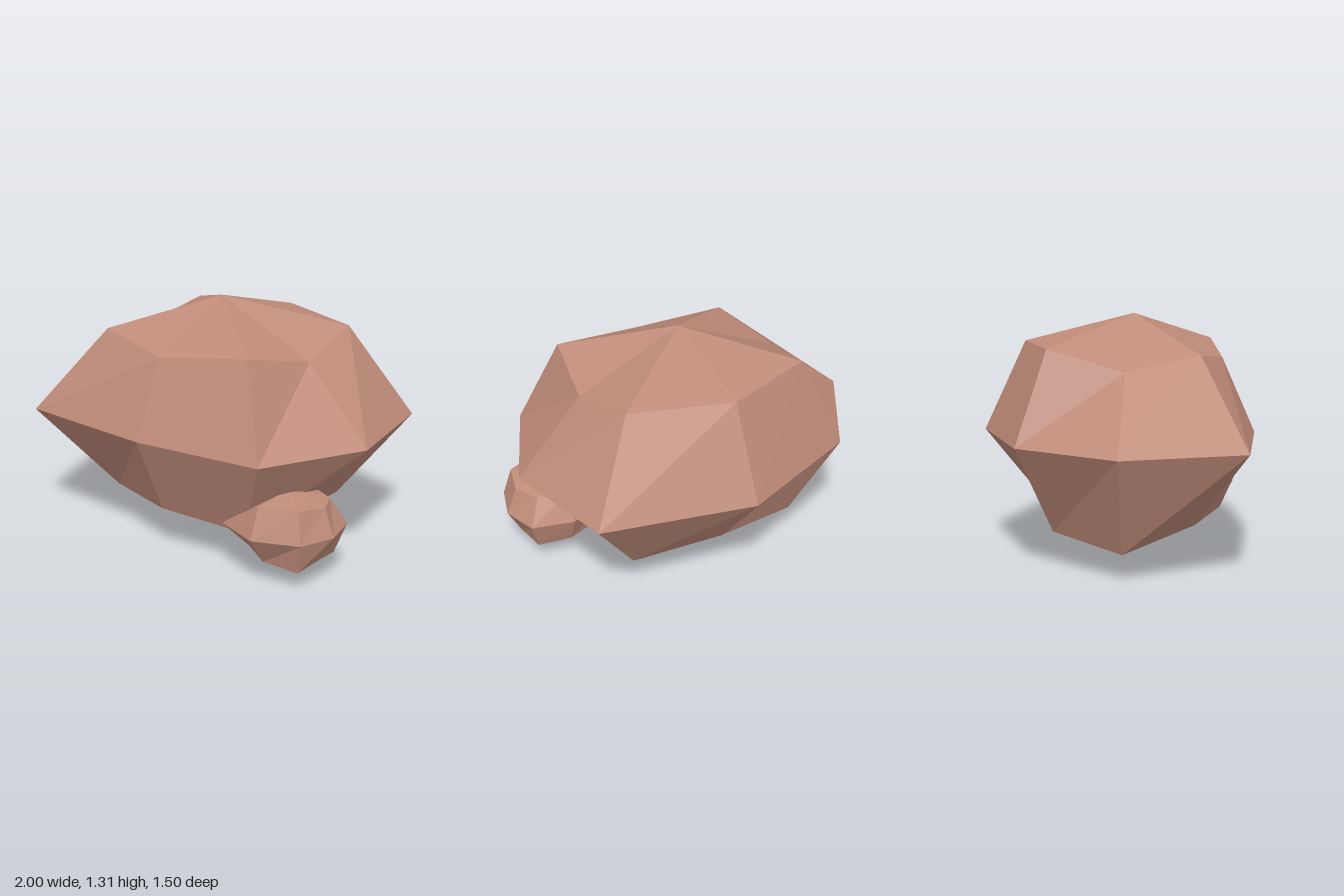
import * as THREE from 'three';

// Eight spokes, running left edge -> front -> right edge -> back
const SPOKES = [[-1, 0], [-1, 1], [0, 1], [1, 1], [1, 0], [1, -1], [0, -1], [-1, -1]];

// Faceted stone: three rings of eight corners closed by a top and a bottom point.
// Each ring gives the reach along every spoke and the height(s) of its corners.
function makeStone({ name, centre, squash, top, bottom, rings }, material) {
  const loops = rings.map(({ reach, y }) => SPOKES.map(([sx, sz], i) => [
    centre[0] + sx * reach[i],
    Array.isArray(y) ? y[i] : y,
    centre[1] + sz * reach[i] * (sx && sz ? squash : 1),
  ]));
  const pos = [];
  const tri = (...corners) => corners.forEach((p) => pos.push(...p));
  const last = loops.length - 1;
  for (let i = 0; i < 8; i++) {
    const n = (i + 1) % 8;
    tri(top, loops[0][i], loops[0][n]);
    for (let r = 0; r < last; r++) {
      const a = loops[r][n], b = loops[r][i], c = loops[r + 1][i], d = loops[r + 1][n];
      tri(a, b, c);
      tri(a, c, d);
    }
    tri(bottom, loops[last][n], loops[last][i]);
  }
  const geometry = new THREE.BufferGeometry();
  geometry.setAttribute('position', new THREE.Float32BufferAttribute(pos, 3));
  geometry.computeVertexNormals(); // unshared corners give flat facets
  const mesh = new THREE.Mesh(geometry, material);
  mesh.name = name;
  return mesh;
}

export function createModel() {
  const group = new THREE.Group();
  group.name = 'rocks';
  const stone = new THREE.MeshStandardMaterial({ color: 0xc08c7a });
  stone.name = 'reddish stone';
  stone.flatShading = true;

  // Large boulder
  group.add(makeStone({
    name: 'boulder',
    centre: [0.04, 0.08],
    squash: 0.79,
    top: [0.04, 1.31, 0.08],
    bottom: [0.04, 0, 0.08],
    rings: [
      { reach: [0.59, 0.48, 0.485, 0.52, 0.59, 0.53, 0.6, 0.52],
        y: [1.04, 1.12, 1.07, 1.14, 1.05, 1.15, 1.155, 1.15] },
      { reach: [1.04, 0.8, 0.665, 0.71, 0.96, 0.81, 0.83, 0.7], y: 0.66 },
      { reach: [0.78, 0.45, 0.48, 0.5, 0.58, 0.5, 0.48, 0.49],
        y: [0.14, 0.23, 0.24, 0.21, 0.24, 0.2, 0.24, 0.19] },
    ],
  }, stone));

  // Small pebble pressed against its side
  group.add(makeStone({
    name: 'pebble',
    centre: [0.7, 0.33],
    squash: 0.85,
    top: [0.72, 0.463, 0.345],
    bottom: [0.7, 0.063, 0.33],
    rings: [
      { reach: [0.22, 0.13, 0.24, 0.19, 0.23, 0.16, 0.185, 0.15],
        y: [0.34, 0.37, 0.43, 0.43, 0.41, 0.405, 0.42, 0.4] },
      { reach: [0.24, 0.255, 0.3, 0.23, 0.29, 0.23, 0.255, 0.2], y: 0.265 },
      { reach: [0.2, 0.15, 0.2, 0.19, 0.22, 0.18, 0.2, 0.17],
        y: [0.15, 0.14, 0.12, 0.1, 0.135, 0.105, 0.12, 0.13] },
    ],
  }, stone));

  return group;
}
